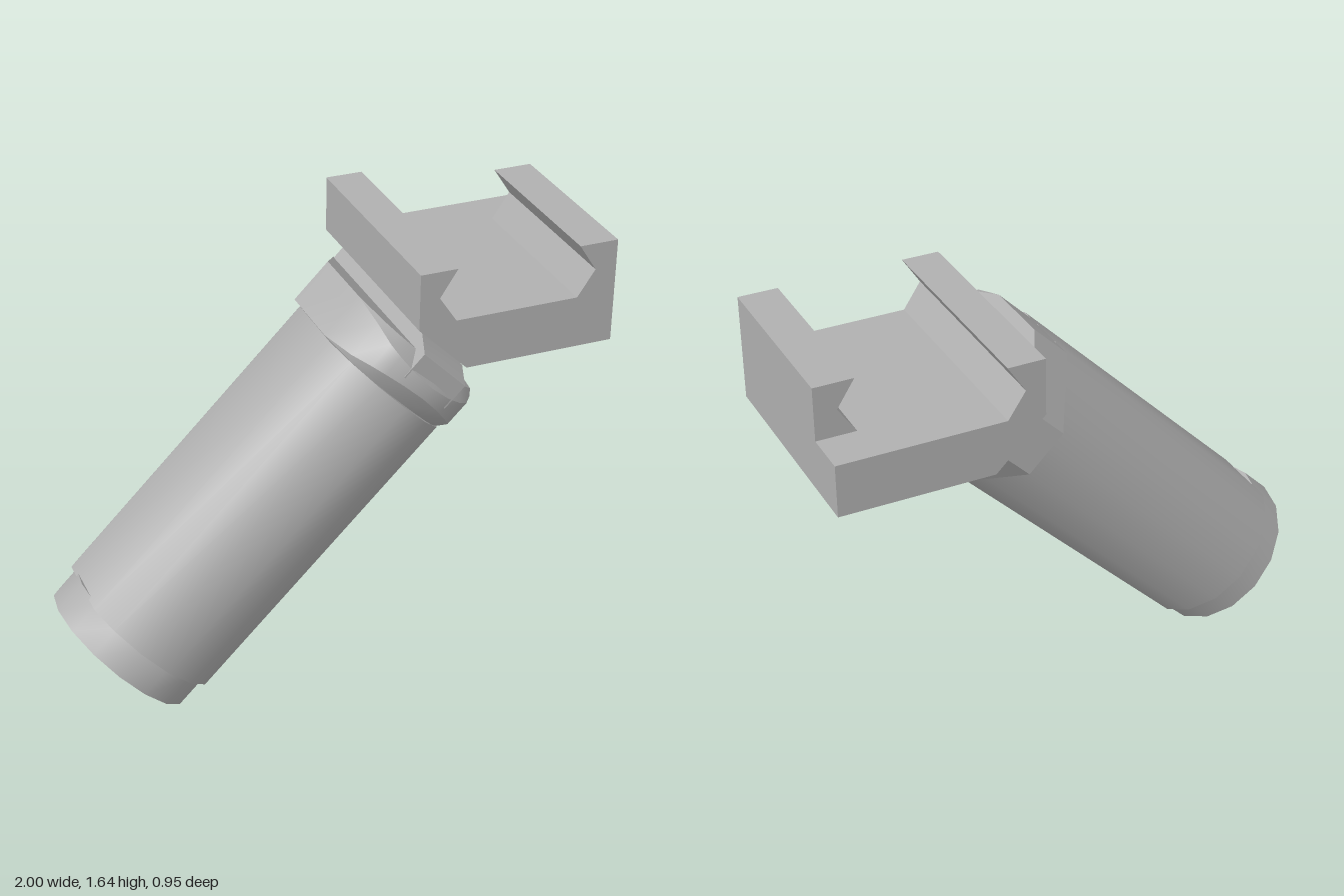
import * as THREE from 'three';
import { toCreasedNormals } from 'three/addons/utils/BufferGeometryUtils.js';

const grey = new THREE.MeshStandardMaterial({ color: 0xb0b0b0 });
grey.name = 'grey metal';

function part(name, geometry) {
  const mesh = new THREE.Mesh(geometry, grey);
  mesh.name = name;
  return mesh;
}

// Full ring at height y from the +x half of an outline [x, z], listed from +z to -z
function ring(half, y) {
  const height = typeof y === 'function' ? y : () => y;
  const right = half.map((p) => [p[0], height(p), p[1]]);
  const left = right.filter((p) => p[0] > 0).reverse().map(([x, h, z]) => [-x, h, z]);
  return [...right, ...left];
}

// Skin over stacked rings (lowest first), closed at both ends
function loft(rings) {
  const out = [];
  const n = rings[0].length;
  const middle = (r) => [0, 1, 2].map((k) => r.reduce((s, p) => s + p[k], 0) / n);
  const low = rings[0], high = rings[rings.length - 1];
  const lowMid = middle(low), highMid = middle(high);
  for (let i = 0; i < n; i++) {
    const j = (i + 1) % n;
    for (let r = 0; r + 1 < rings.length; r++) {
      const a = rings[r], b = rings[r + 1];
      out.push(a[i], a[j], b[j], a[i], b[j], b[i]);
    }
    out.push(lowMid, low[j], low[i], highMid, high[i], high[j]);
  }
  const g = new THREE.BufferGeometry();
  g.setAttribute('position', new THREE.Float32BufferAttribute(out.flat(), 3));
  return toCreasedNormals(g, 0.6);
}

// Prism along z from a front profile
function prism(points, z0, z1) {
  const shape = new THREE.Shape(points.map(([x, y]) => new THREE.Vector2(x, y)));
  const g = new THREE.ExtrudeGeometry(shape, { depth: z1 - z0, bevelEnabled: false });
  return g.translate(0, 0, z0);
}

export function createModel() {
  const model = new THREE.Group();
  model.name = 'tiltedTubeWithRailClamp';

  // Tilted assembly: local y runs along the tube
  const tube = new THREE.Group();
  tube.name = 'tube';
  tube.rotation.z = -Math.PI / 4;
  tube.position.set(-0.502, 0.502, 0.115);
  model.add(tube);

  // End cap
  const cap = new THREE.CylinderGeometry(0.305, 0.305, 0.13, 16).translate(0, -0.333, 0);
  tube.add(part('endCap', toCreasedNormals(cap, 0.6)));

  // Round body with two flats
  const body = [[0, 0.325], [0.124, 0.3], [0.23, 0.23], [0.29, 0.14],
    [0.29, -0.14], [0.23, -0.23], [0.124, -0.3], [0, -0.325]];
  tube.add(part('body', loft([ring(body, -0.28), ring(body, 0.967)])));

  // Pointed head plate: [x, z, bevel height, inset factor of the lower face]
  const head = [[0, 0.36, 0.065, 0.82], [0.09, 0.35, 0.06, 0.84], [0.16, 0.325, 0.05, 0.86],
    [0.205, 0.295, 0.04, 0.89], [0.25, 0.225, 0.02, 0.95], [0.29, 0.085, 0, 1],
    [0.29, -0.195, 0, 1], [0.09, -0.485, 0.03, 0.65]];
  const lowerFace = head.map(([x, z, b, s]) => [x * s, z * s]);
  const upperFace = head.map(([x, z, b, s]) => (z > 0 ? [x * s, z * s] : [x, z]));
  tube.add(part('headPlate', loft([
    ring(lowerFace, 0.968),
    ring(head, (p) => 0.968 + p[2]),
    ring(head, (p) => 1.146 - (p[1] > 0 ? p[2] : 0)),
    ring(upperFace, 1.146),
  ])));

  // Neck between head and clamp
  const neck = (front) => [[0.11, front], [0.11, -0.45]];
  tube.add(part('neck', loft([
    ring(neck(0.345), 1.05), ring(neck(0.345), 1.155), ring(neck(0.255), 1.197),
  ])));

  // Rail clamp: base, full left-hand jaw and a shorter jaw on the far side
  const clamp = new THREE.Group();
  clamp.name = 'railClamp';
  model.add(clamp);
  clamp.add(part('clampBaseAndJaw', prism([
    [0.44, 1.255], [1, 1.255], [1, 1.448], [0.395, 1.448], [0.33, 1.545],
    [0.395, 1.645], [0.257, 1.645], [0.257, 1.435],
  ], -0.475, 0.368)));
  clamp.add(part('shortJaw', prism([
    [0.855, 1.448], [1, 1.448], [1, 1.645], [0.855, 1.645], [0.92, 1.545],
  ], -0.31, 0.368)));

  return model;
}
